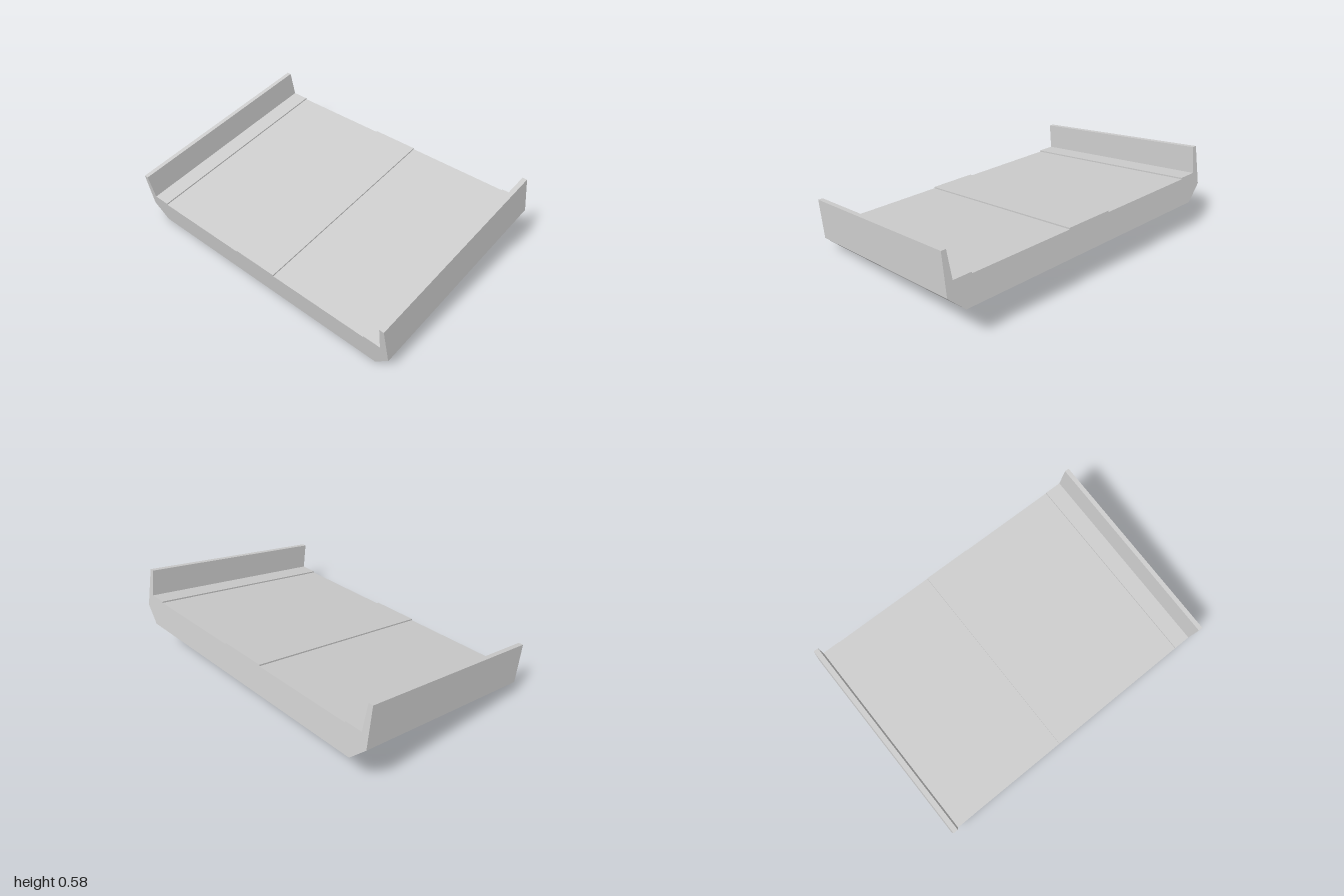
import * as THREE from 'three';

const LENGTH = 1.336;
const TILT = THREE.MathUtils.degToRad(10.1);

export function createModel() {
  const group = new THREE.Group();
  group.name = 'tiltedTray';

  // Right half of the cross-section, from the bottom round the wall to the middle of the floor
  const half = [
    [0.9, 0], [1, 0.1],                       // chamfered lower edge
    [0.992, 0.352], [0.962, 0.352],           // side wall
    [0.952, 0.183], [0.836, 0.183],           // raised edge strip
    [0.836, 0.174], [0.157, 0.174],           // shallow channel
    [0.157, 0.183],                           // raised centre strip
  ];
  const mirrored = half.map(([x, y]) => [-x, y]).reverse();
  const profile = new THREE.Shape([...half, ...mirrored].map(([x, y]) => new THREE.Vector2(x, y)));

  const geometry = new THREE.ExtrudeGeometry(profile, { depth: LENGTH, bevelEnabled: false });
  geometry.translate(0, 0, -LENGTH);

  // Tray body, pivoted on its front lower edge so the back rises
  const tray = new THREE.Mesh(
    geometry,
    new THREE.MeshStandardMaterial({ color: 0xcccccc, flatShading: true })
  );
  tray.name = 'trayBody';
  tray.rotation.x = TILT;
  tray.position.z = 0.627;
  group.add(tray);

  return group;
}
